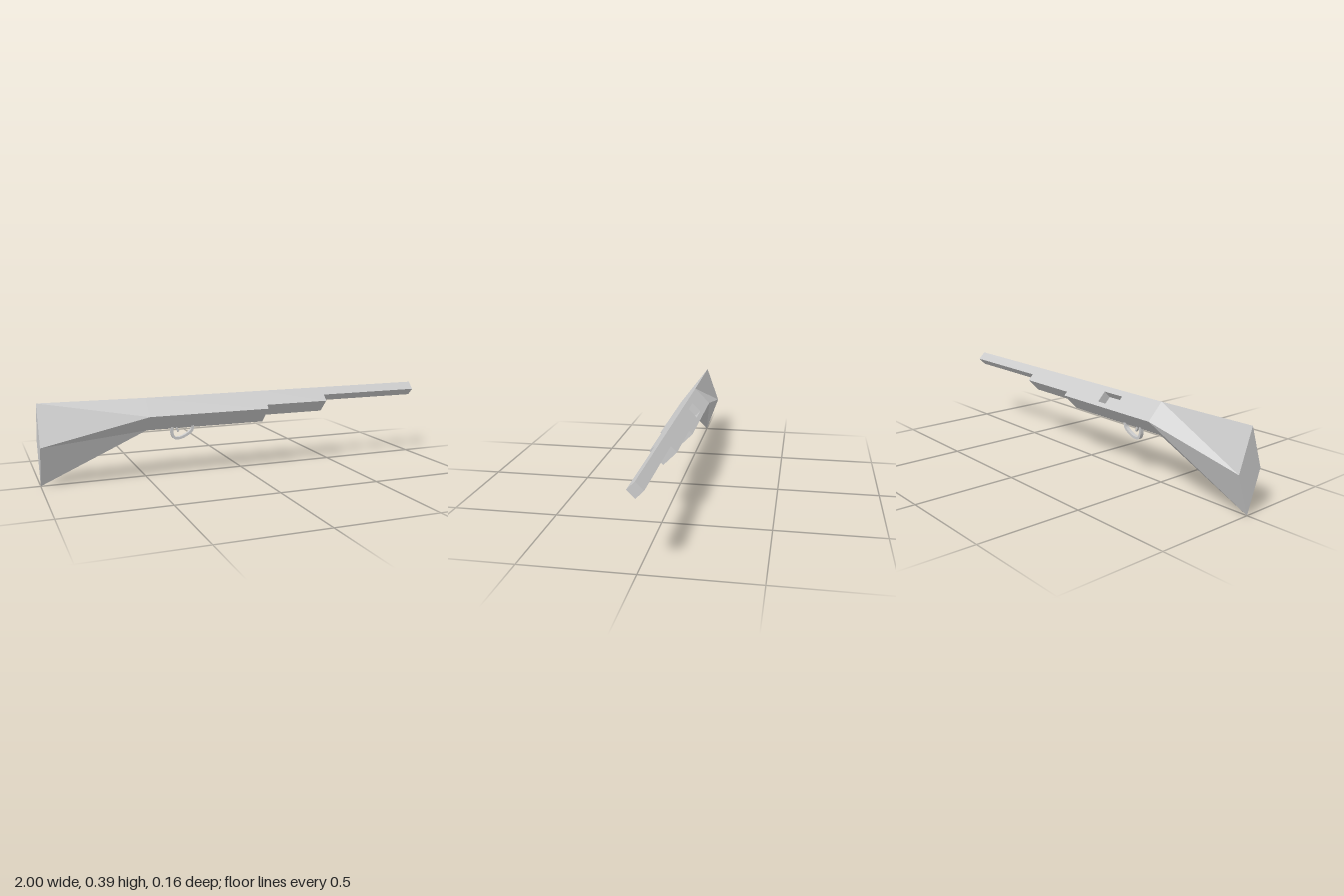
import * as THREE from 'three';

const material = new THREE.MeshStandardMaterial({ color: 0xcccccc, flatShading: true });

function addMesh(parent, name, geometry, mat = material) {
  const mesh = new THREE.Mesh(geometry, mat);
  mesh.name = name;
  parent.add(mesh);
  return mesh;
}

// Diamond section at x: ridge, left corner, keel, right corner
const diamond = (x, top, mid, bottom, half) =>
  [[x, top, 0], [x, mid, half], [x, bottom, 0], [x, mid, -half]];

// Solid between two diamond sections; one side may be left out
function diamondLoft(a, b, skipSide = -1) {
  const pos = [];
  const quad = (p, q, r, s) => pos.push(...p, ...q, ...r, ...p, ...r, ...s);
  for (let i = 0; i < 4; i++) {
    const j = (i + 1) % 4;
    if (i !== skipSide) quad(a[i], a[j], b[j], b[i]);
  }
  quad(b[0], b[1], b[2], b[3]);
  quad(a[3], a[2], a[1], a[0]);
  const geometry = new THREE.BufferGeometry();
  geometry.setAttribute('position', new THREE.Float32BufferAttribute(pos, 3));
  geometry.computeVertexNormals();
  return geometry;
}

// Flat bar of constant thickness following a curve in the xy plane
function bentBar(points, thickness, width, steps) {
  const curve = new THREE.CatmullRomCurve3(points.map(([x, y]) => new THREE.Vector3(x, y, 0)));
  const outer = [], inner = [];
  for (let i = 0; i <= steps; i++) {
    const p = curve.getPoint(i / steps), t = curve.getTangent(i / steps);
    const nx = -t.y * thickness / 2, ny = t.x * thickness / 2;
    outer.push(new THREE.Vector2(p.x + nx, p.y + ny));
    inner.unshift(new THREE.Vector2(p.x - nx, p.y - ny));
  }
  return new THREE.ExtrudeGeometry(new THREE.Shape([...outer, ...inner]),
    { depth: width, bevelEnabled: false }).translate(0, 0, -width / 2);
}

const rectangle = (Type, u0, u1, v0, v1) => new Type([
  new THREE.Vector2(u0, v0), new THREE.Vector2(u1, v0),
  new THREE.Vector2(u1, v1), new THREE.Vector2(u0, v1)]);

export function createModel() {
  const model = new THREE.Group();
  const rear = diamond(-0.49, 0.39, 0.31, 0.23, 0.08);
  const front = diamond(0.12, 0.39, 0.31, 0.23, 0.08);

  addMesh(model, 'stock', diamondLoft(diamond(-1, 0.395, 0.2, 0.003, 0.07), rear));
  addMesh(model, 'receiver', diamondLoft(rear, front, 3));
  addMesh(model, 'foreEnd', diamondLoft(
    diamond(0.12, 0.39, 0.327, 0.264, 0.063), diamond(0.455, 0.39, 0.327, 0.264, 0.063)));
  addMesh(model, 'barrel', diamondLoft(
    diamond(0.455, 0.39, 0.355, 0.32, 0.035), diamond(1, 0.39, 0.355, 0.32, 0.035)));

  // Upper back face of the receiver, with the port recessed into it
  const portSide = new THREE.Group();
  portSide.name = 'portSide';
  portSide.applyMatrix4(new THREE.Matrix4().makeBasis(
    new THREE.Vector3(-1, 0, 0),
    new THREE.Vector3(0, 1, 1).normalize(),
    new THREE.Vector3(0, 1, -1).normalize()).setPosition(0, 0.31, -0.08));
  model.add(portSide);

  const u0 = 0.125, u1 = 0.25, v0 = 0.023, v1 = 0.083, depth = 0.047;
  const face = rectangle(THREE.Shape, -0.12, 0.49, 0, 0.08 * Math.SQRT2);
  face.holes.push(rectangle(THREE.Path, u0, u1, v0, v1));
  addMesh(portSide, 'receiverPortFace', new THREE.ShapeGeometry(face));

  // Pocket: inside of a box without its lid
  const pocket = new THREE.BoxGeometry(u1 - u0, v1 - v0, depth);
  const index = Array.from(pocket.index.array);
  index.splice(24, 6);
  pocket.setIndex(index);
  pocket.clearGroups();
  pocket.translate((u0 + u1) / 2, (v0 + v1) / 2, -depth / 2);
  const inside = material.clone();
  inside.side = THREE.BackSide;
  addMesh(portSide, 'portPocket', pocket, inside);

  // Trigger and its guard
  addMesh(model, 'triggerGuard', bentBar([
    [-0.362, 0.242], [-0.362, 0.205], [-0.352, 0.184], [-0.325, 0.181],
    [-0.29, 0.194], [-0.262, 0.215], [-0.256, 0.242]], 0.012, 0.02, 20));
  addMesh(model, 'trigger', bentBar([
    [-0.338, 0.245], [-0.338, 0.228], [-0.329, 0.213]], 0.009, 0.012, 6));

  return model;
}
